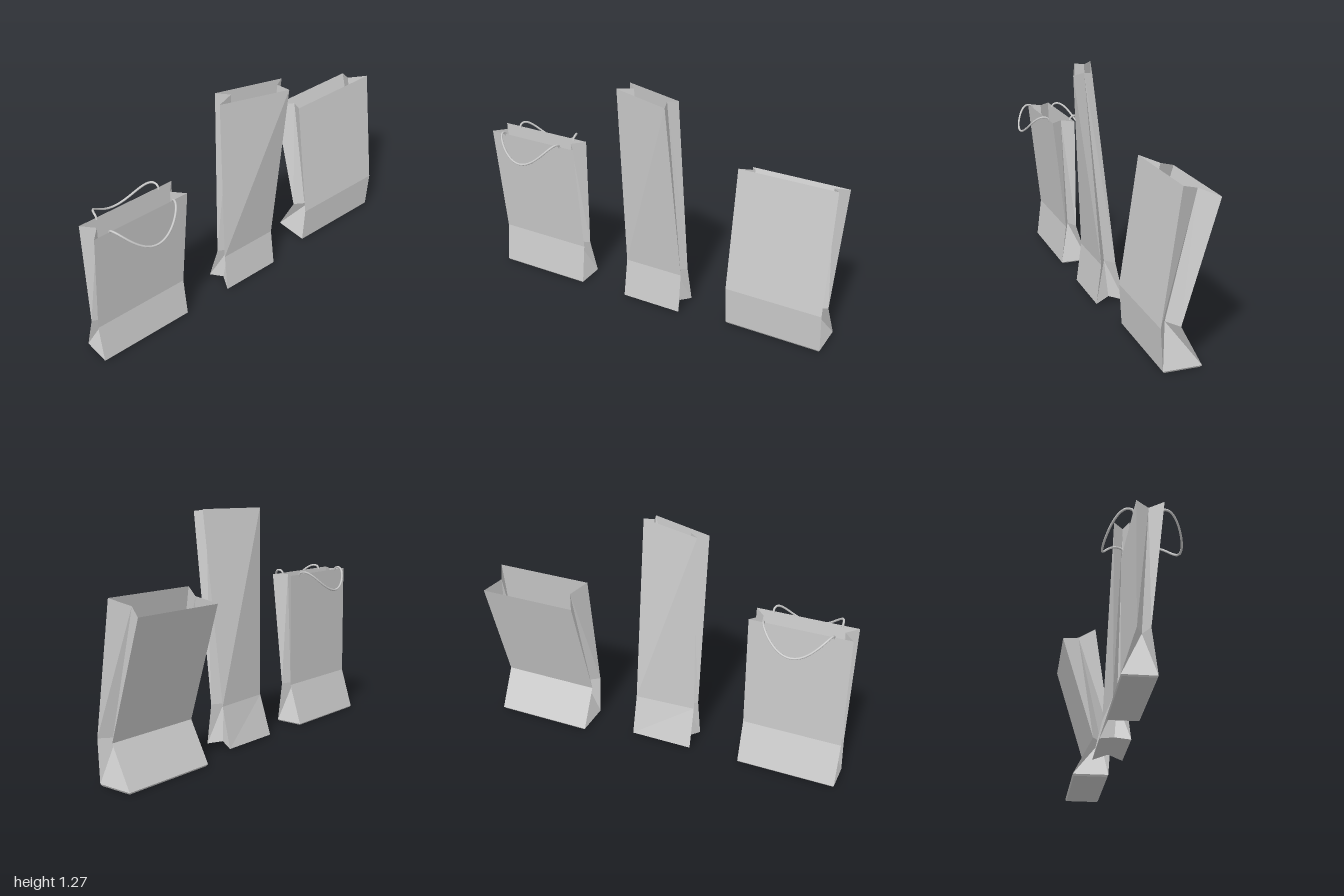
import * as THREE from 'three';

const paper = new THREE.MeshStandardMaterial({ color: 0xcccccc, side: THREE.DoubleSide, flatShading: true });
const cord = new THREE.MeshStandardMaterial({ color: 0xcccccc });

// Cross-section of a gusseted bag: front edge, right fold, back edge, left fold
function ring(x0, x1, zf, zb, yf, yb, inset) {
  const zm = (zf + zb) / 2, ym = (yf + yb) / 2;
  return [[x0, yf, zf], [x1, yf, zf], [x1 - inset, ym, zm],
    [x1, yb, zb], [x0, yb, zb], [x0 + inset, ym, zm]];
}

// Skin the rings from the floor up; the top stays open
function bag(name, rings) {
  const pos = [];
  const tri = (...pts) => pts.forEach((p) => pos.push(...p));
  const n = 6;
  for (let i = 0; i < rings.length - 1; i++) {
    for (let j = 0; j < n; j++) {
      const k = (j + 1) % n;
      const a = rings[i][j], b = rings[i][k], c = rings[i + 1][j], d = rings[i + 1][k];
      // Fold lines run from the floor corners to the gusset folds
      if (j === 2 || j === 5) { tri(a, b, c); tri(b, d, c); }
      else { tri(a, b, d); tri(a, d, c); }
    }
  }
  // Floor
  const f = rings[0];
  for (const [a, b, c] of [[0, 2, 1], [0, 5, 2], [5, 3, 2], [5, 4, 3]]) tri(f[a], f[b], f[c]);
  const g = new THREE.BufferGeometry();
  g.setAttribute('position', new THREE.Float32BufferAttribute(pos, 3));
  g.computeVertexNormals();
  const mesh = new THREE.Mesh(g, paper);
  mesh.name = name;
  return mesh;
}

// Drooping cord handle; dir is +1 in front, -1 at the back
function handle(name, xc, z0, dir) {
  const pts = [];
  const N = 20;
  for (let i = 0; i <= N; i++) {
    const t = Math.PI * (1 - i / N), u = Math.sin(t);
    pts.push(new THREE.Vector3(xc + 0.183 * Math.cos(t), 0.878 + 0.075 * u - 0.18 * u * u, z0 + dir * 0.122 * u));
  }
  // Ends tucked inside the rim
  for (const s of [-1, 1]) {
    const p = new THREE.Vector3(xc + s * 0.183, 0.862, z0 - dir * 0.006);
    if (s < 0) pts.unshift(p); else pts.push(p);
  }
  const g = new THREE.TubeGeometry(new THREE.CatmullRomCurve3(pts), 48, 0.006, 6);
  const mesh = new THREE.Mesh(g, cord);
  mesh.name = name;
  return mesh;
}

export function createModel() {
  const root = new THREE.Group();
  root.name = 'paperBags';

  // Medium bag with two handles
  const handled = new THREE.Group();
  handled.name = 'handledBag';
  handled.add(
    bag('handledBagBody', [
      ring(-0.995, -0.46, 0.065, -0.085, 0, 0, 0),
      ring(-1, -0.455, 0.07, -0.09, 0.007, 0.007, 0),
      ring(-1, -0.455, 0.043, -0.02, 0.23, 0.23, 0.07),
      ring(-1, -0.455, 0.115, -0.016, 0.87, 0.87, 0.058),
    ]),
    handle('frontHandle', -0.73, 0.116, 1),
    handle('backHandle', -0.72, -0.018, -1),
  );
  root.add(handled);

  // Tall twisted bag with folds running into the floor
  const base = ring(-0.17, 0.18, 0.07, -0.09, 0.008, 0.008, 0.035);
  base[2][1] = base[5][1] = 0.028;
  const waist = ring(-0.165, 0.178, 0.043, -0.03, 0.23, 0.23, 0.06);
  waist[3][2] = -0.038;
  waist[4][2] = -0.022;
  const rim = [[-0.2, 1.255, 0.065], [0.15, 1.257, 0.183], [0.128, 1.265, 0.118],
    [0.18, 1.27, 0.093], [-0.165, 1.27, -0.015], [-0.108, 1.265, 0.04]];
  root.add(bag('tallBag', [base, waist, rim]));

  // Wide bag leaning backwards
  root.add(bag('leaningBag', [
    ring(0.457, 0.99, 0.02, -0.165, 0, 0, 0),
    ring(0.45, 0.996, 0.027, -0.172, 0.01, 0.01, 0),
    ring(0.45, 0.994, 0.042, -0.06, 0.23, 0.225, 0.075),
    ring(0.452, 0.992, -0.052, -0.243, 0.905, 0.835, 0.056),
  ]));

  return root;
}
